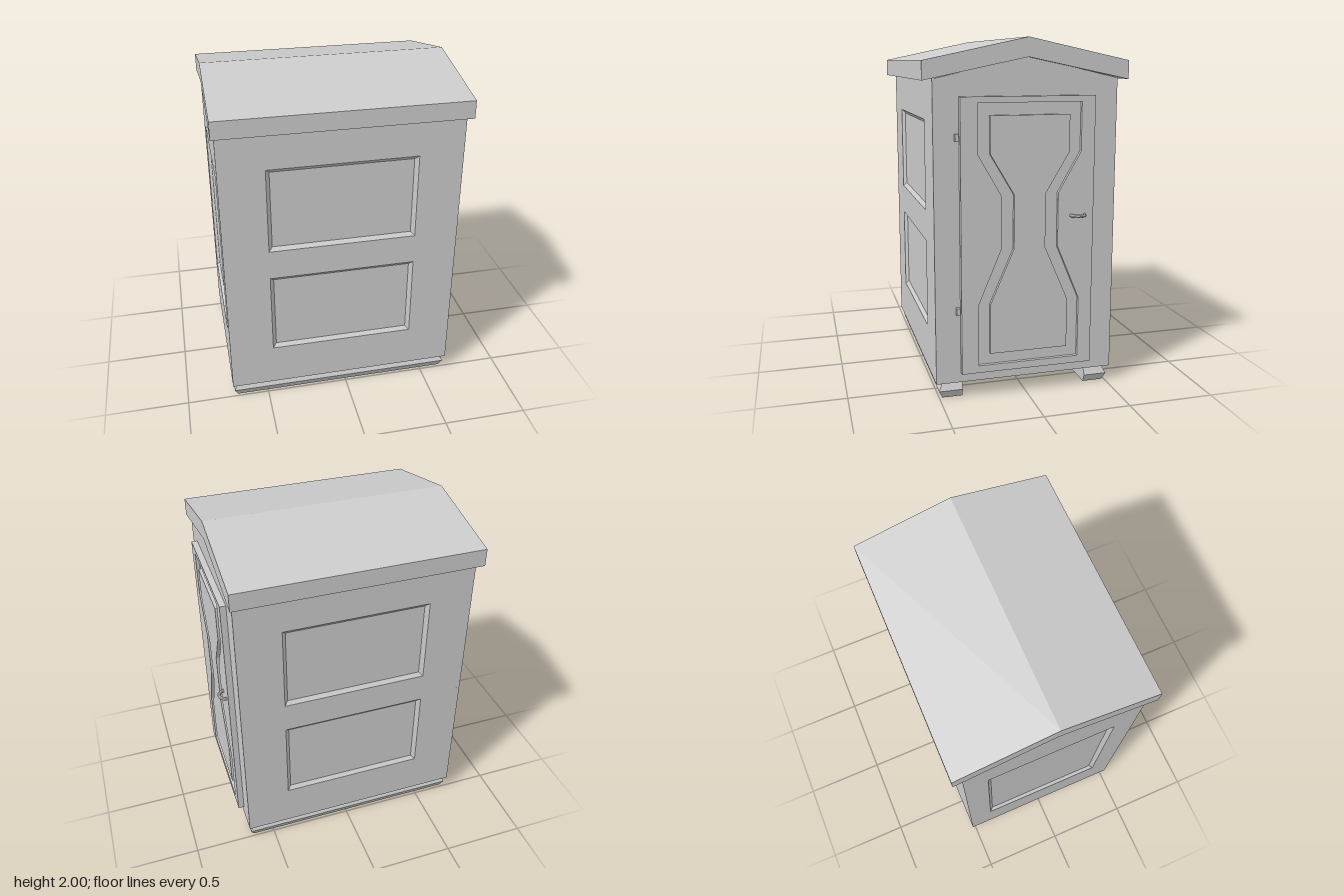
import * as THREE from 'three';

const mat = new THREE.MeshStandardMaterial({ color: 0xcccccc, flatShading: true, side: THREE.DoubleSide });

function add(parent, name, geo, x = 0, y = 0, z = 0) {
  const m = new THREE.Mesh(geo, mat);
  m.name = name;
  m.position.set(x, y, z);
  parent.add(m);
  return m;
}

const shapeOf = (pts) => new THREE.Shape(pts.map(([x, y]) => new THREE.Vector2(x, y)));
const rect = (x0, y0, x1, y1) => [[x0, y0], [x1, y0], [x1, y1], [x0, y1]];

function extrude(pts, depth, holes = []) {
  const s = shapeOf(pts);
  holes.forEach((h) => s.holes.push(shapeOf(h)));
  return new THREE.ExtrudeGeometry(s, { depth, bevelEnabled: false });
}

// Joins equal-length loops of 3D points with quads, optionally capping both ends
function loft(loops, caps = false) {
  const n = loops[0].length, idx = [];
  for (let r = 0; r < loops.length - 1; r++) {
    for (let i = 0; i < n; i++) {
      const a = r * n + i, b = r * n + (i + 1) % n;
      idx.push(a, b, b + n, a, b + n, a + n);
    }
  }
  if (caps) {
    const t = (loops.length - 1) * n;
    for (let i = 1; i < n - 1; i++) idx.push(0, i + 1, i, t, t + i, t + i + 1);
  }
  const g = new THREE.BufferGeometry();
  g.setAttribute('position', new THREE.Float32BufferAttribute(loops.flat(2), 3));
  g.setIndex(idx);
  const flat = g.toNonIndexed();
  flat.computeVertexNormals();
  return flat;
}

const DEPTH = 0.02, INSET = 0.022;
const CX = -0.03, HX = 0.69, HZ = 0.52, BASE = 0.095;

// Wall skin facing +z with bevelled recessed panels [x0, y0, x1, y1]
function panelledWall(name, outline, panels) {
  const g = new THREE.Group();
  g.name = name;
  add(g, name + 'Skin', extrude(outline, DEPTH, panels.map((p) => rect(...p))));
  panels.forEach(([x0, y0, x1, y1]) => {
    const outer = rect(x0, y0, x1, y1).map(([x, y]) => [x, y, DEPTH]);
    const inner = rect(x0 + INSET, y0 + INSET, x1 - INSET, y1 - INSET).map(([x, y]) => [x, y, 0.001]);
    add(g, name + 'PanelBevel', loft([outer, inner]));
  });
  return g;
}

const gable = (h) => [[-h, BASE], [h, BASE], [h, 1.787], [0, 1.9], [-h, 1.787]];

// Hourglass outline: half widths for ends and waist, bottom and top heights
function hourglass(end, waist, y0, y1) {
  const side = [[end, y0], [end, 0.545], [waist, 0.855], [waist, 1.158], [end, 1.385], [end, y1]];
  const other = side.map(([x, y]) => [-x, y]).reverse();
  return [...side, ...other].map(([x, y]) => [x + 0.008, y]);
}

export function createModel() {
  const model = new THREE.Group();
  model.name = 'cabin';

  // Solid core; its faces are the floors of the recessed panels
  const core = add(model, 'cabinCore', extrude(gable(HZ - DEPTH), 2 * HX - DEPTH), CX - HX + DEPTH);
  core.rotation.y = Math.PI / 2;

  // Long walls, front and back
  const longOutline = rect(-HX, BASE, HX, 1.787);
  const longPanels = [[-0.43, 0.355, 0.43, 0.862], [-0.43, 1.042, 0.43, 1.555]];
  [['frontWall', 1], ['backWall', -1]].forEach(([name, s]) => {
    const wall = panelledWall(name, longOutline, longPanels);
    wall.position.set(CX, 0, s * (HZ - DEPTH));
    wall.rotation.y = s > 0 ? 0 : Math.PI;
    model.add(wall);
  });

  // Gable wall opposite the door
  const endWall = panelledWall('endWall', gable(HZ), [[-0.38, 0.43, 0.38, 1.47]]);
  endWall.position.x = CX - HX + DEPTH;
  endWall.rotation.y = -Math.PI / 2;
  model.add(endWall);

  // Pitched roof slab
  const roofProfile = [[-0.577, 1.775], [0, 1.895], [0.577, 1.775], [0.577, 1.877], [0, 2], [-0.577, 1.877]];
  add(model, 'roof', extrude(roofProfile, 1.42), -0.74).rotation.y = Math.PI / 2;

  // Door: backing, framed skin and raised hourglass with a groove between
  const door = new THREE.Group();
  door.name = 'door';
  door.position.x = CX + HX;
  door.rotation.y = Math.PI / 2;
  const leaf = rect(-0.38, 0.153, 0.38, 1.69);
  add(door, 'doorBacking', extrude(leaf, 0.015));
  add(door, 'doorFrame', extrude(leaf, 0.02, [hourglass(0.293, 0.163, 0.195, 1.657)]), 0, 0, 0.015);
  add(door, 'doorPanel', extrude(hourglass(0.225, 0.09, 0.26, 1.59), 0.02), 0, 0, 0.015);
  [0.515, 1.475].forEach((y) => add(door, 'hinge', new THREE.BoxGeometry(0.02, 0.04, 0.025), -0.395, y, 0.01));
  model.add(door);

  // Looped door handle
  const handle = add(door, 'doorHandle', new THREE.TorusGeometry(0.04, 0.01, 8, 16, Math.PI), 0.288, 1.026, 0.029);
  handle.rotation.x = Math.PI / 2;

  // Skids with pointed ends and a pointed outer edge
  [['frontSkid', 1], ['backSkid', -1]].forEach(([name, s]) => {
    const level = (y, hx, z) => {
      const loop = [[CX - hx, y, s * z], [CX + hx, y, s * z], [CX + hx, y, s * 0.367], [CX - hx, y, s * 0.367]];
      return s > 0 ? loop : loop.reverse();
    };
    add(model, name, loft([level(0, 0.66, 0.483), level(0.045, 0.68, 0.503), level(0.086, 0.66, 0.483)], true));
  });

  return model;
}
